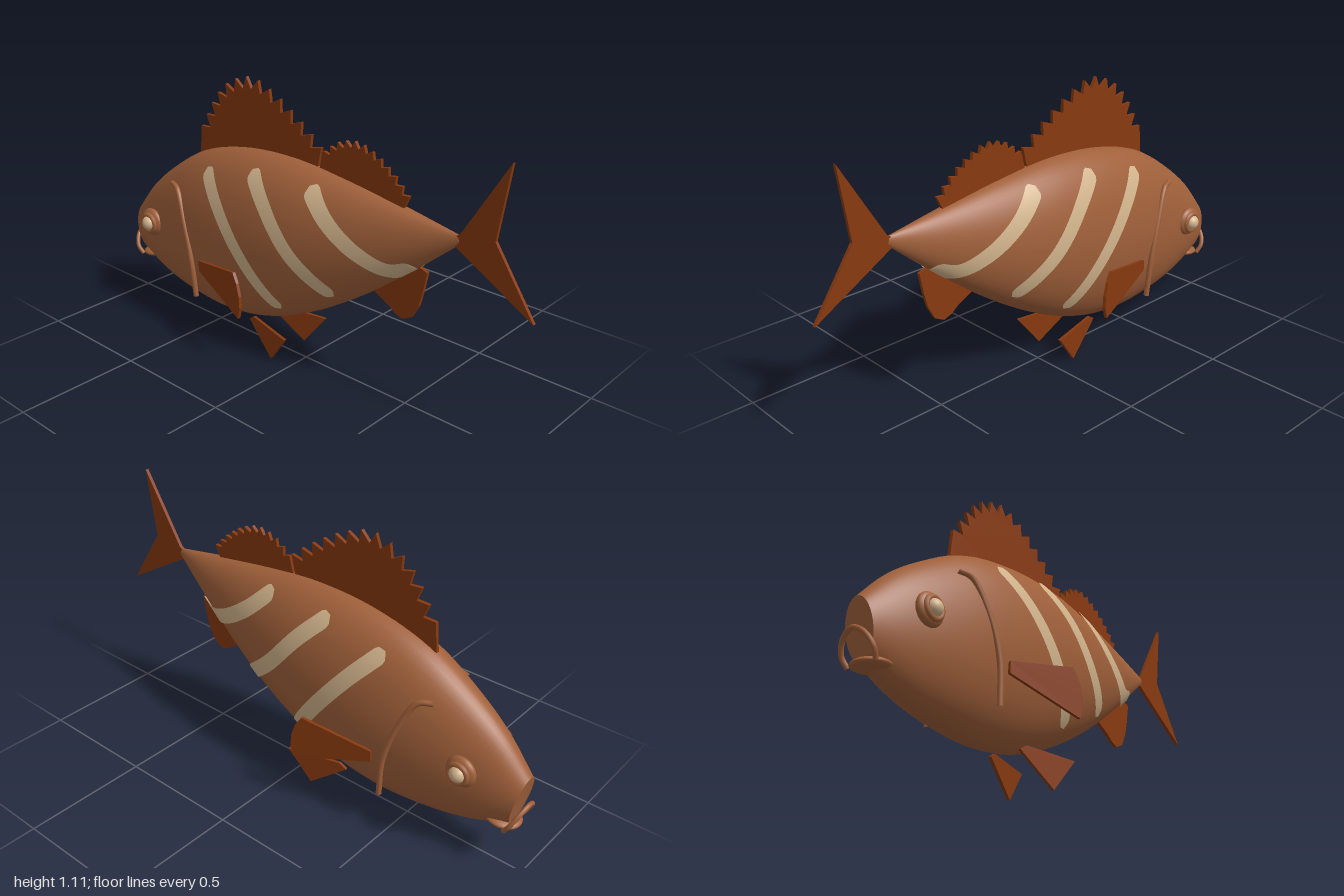
import * as THREE from 'three';

const mat = (name, color, side = THREE.FrontSide) => {
  const m = new THREE.MeshStandardMaterial({ color, side });
  m.name = name;
  return m;
};
const V = (x, y, z = 0) => new THREE.Vector3(x, y, z);
const curve = pts => new THREE.CatmullRomCurve3(pts.map(p => V(...p)));

// Body outline: upper edge, and lower edge with half width as third value
const upper = curve([[-0.985, 0.41], [-0.87, 0.54], [-0.74, 0.645], [-0.55, 0.76], [-0.31, 0.826],
  [-0.05, 0.842], [0.2, 0.818], [0.45, 0.78], [0.69, 0.742]]);
const lower = curve([[-0.94, 0.2, 0.06], [-0.79, 0.14, 0.1], [-0.62, 0.105, 0.135], [-0.4, 0.092, 0.165],
  [-0.18, 0.13, 0.175], [0.06, 0.235, 0.163], [0.29, 0.38, 0.122], [0.5, 0.542, 0.068], [0.7, 0.71, 0.008]]);

function bodyPoint(u, a) {
  const t = upper.getPoint(u), b = lower.getPoint(u), k = (1 + Math.cos(a)) / 2;
  return V(b.x + (t.x - b.x) * k, b.y + (t.y - b.y) * k, b.z * Math.sin(a));
}

// Point on the left flank at a given x and y
function flank(x, y) {
  let lo = 0, hi = 1, t, b, k;
  for (let i = 0; i < 24; i++) {
    const u = (lo + hi) / 2;
    t = upper.getPoint(u);
    b = lower.getPoint(u);
    k = THREE.MathUtils.clamp((y - b.y) / (t.y - b.y), 0.015, 0.985);
    if (b.x + (t.x - b.x) * k < x) lo = u; else hi = u;
  }
  return V(x, b.y + (t.y - b.y) * k, b.z * 2 * Math.sqrt(k * (1 - k)));
}

function meshGeometry(points, index) {
  const g = new THREE.BufferGeometry().setFromPoints(points);
  g.setIndex(index);
  g.computeVertexNormals();
  return g;
}

// Lofted skin with flat, separately shaded end caps
function bodyGeometry(rows = 64, sides = 48) {
  const pts = [], idx = [];
  const ring = u => {
    for (let j = 0; j < sides; j++) pts.push(bodyPoint(u, j / sides * Math.PI * 2));
  };
  for (let i = 0; i <= rows; i++) ring(i / rows);
  for (let i = 0; i < rows; i++) for (let j = 0; j < sides; j++) {
    const a = i * sides + j, b = i * sides + (j + 1) % sides;
    idx.push(a, b, a + sides, b, b + sides, a + sides);
  }
  for (const u of [0, 1]) {
    const s = pts.length;
    ring(u);
    pts.push(upper.getPoint(u).add(lower.getPoint(u)).multiplyScalar(0.5).setZ(0));
    for (let j = 0; j < sides; j++) {
      const a = s + j, b = s + (j + 1) % sides;
      idx.push(s + sides, u ? a : b, u ? b : a);
    }
  }
  return meshGeometry(pts, idx);
}

// Thin round-ended band laid on the flank along a path
function stripeGeometry(path, half = 0.031, n = 48, m = 8) {
  const c = curve(path), len = c.getLength(), pts = [], idx = [], e = 0.004;
  for (let i = 0; i <= n; i++) {
    const u = i / n, p = c.getPointAt(u), d = c.getTangentAt(u);
    const end = Math.min(1, Math.min(u, 1 - u) * len / half);
    const w = half * Math.sqrt(Math.max(0.002, 1 - (1 - end) ** 2));
    for (let j = 0; j <= m; j++) {
      const s = (j / m * 2 - 1) * w, x = p.x - d.y * s, y = p.y + d.x * s;
      const q = flank(x, y);
      const zx = (flank(x + e, q.y).z - flank(x - e, q.y).z) / (2 * e);
      const zy = (flank(x, q.y + e).z - flank(x, q.y - e).z) / (2 * e);
      pts.push(q.add(V(-zx, -zy, 1).normalize().multiplyScalar(0.006)));
      if (i < n && j < m) {
        const a = i * (m + 1) + j, b = a + m + 1;
        idx.push(a, b, a + 1, b, b + 1, a + 1);
      }
    }
  }
  return meshGeometry(pts, idx);
}

// Flat fin of even thickness, centred on its own plane
function finGeometry(points, depth = 0.014) {
  const shape = new THREE.Shape(points.map(p => new THREE.Vector2(p[0], p[1])));
  return new THREE.ExtrudeGeometry(shape, { depth, bevelEnabled: false }).translate(0, 0, -depth / 2);
}

// Saw-toothed edge along a crest curve, closed by base points
function spinyFin(crest, teeth, depth, base) {
  const c = curve(crest), pts = [];
  for (let i = 0; i <= teeth; i++) {
    const p = c.getPointAt(i / teeth);
    pts.push([p.x, p.y]);
    if (i < teeth) {
      const q = c.getPointAt((i + 0.45) / teeth), d = c.getTangentAt((i + 0.45) / teeth);
      pts.push([q.x + d.y * depth, q.y - d.x * depth]);
    }
  }
  return finGeometry([...pts, ...base]);
}

export function createModel() {
  const fish = new THREE.Group();
  fish.name = 'fish';
  const skin = mat('brownSkin', 0xa0603a);
  const finMat = mat('rustFin', 0x87390f);
  const tan = mat('paleTan', 0xd2b48c, THREE.DoubleSide);

  const add = (parent, name, geometry, material) => {
    const m = new THREE.Mesh(geometry, material);
    m.name = name;
    parent.add(m);
    return m;
  };
  const tube = (pts, r) => new THREE.TubeGeometry(curve(pts), 40, r, 10);

  add(fish, 'body', bodyGeometry(), skin);

  // Fins on the centre line
  add(fish, 'frontDorsalFin', spinyFin([[-0.57, 0.86], [-0.49, 0.99], [-0.42, 1.06], [-0.29, 1.11], [-0.18, 1.08],
    [-0.07, 1.02], [0.025, 0.955], [0.08, 0.91]], 13, 0.045, [[0.055, 0.8], [-0.3, 0.78], [-0.585, 0.7]]), finMat);
  add(fish, 'rearDorsalFin', spinyFin([[0.09, 0.9], [0.16, 0.95], [0.25, 0.97], [0.33, 0.945], [0.41, 0.895],
    [0.485, 0.825]], 11, 0.026, [[0.45, 0.75], [0.25, 0.77], [0.065, 0.8]]), finMat);
  add(fish, 'tailFin', finGeometry([[0.66, 0.72], [0.7, 0.75], [0.875, 1.04], [0.835, 0.76], [1, 0.515], [0.68, 0.7]]), finMat);
  add(fish, 'analFin', finGeometry([[0.32, 0.43], [0.41, 0.385], [0.44, 0.362], [0.475, 0.35], [0.515, 0.37],
    [0.545, 0.425], [0.56, 0.485], [0.575, 0.565], [0.5, 0.59]]), finMat);

  // Mouth
  add(fish, 'upperLip', tube([[-0.94, 0.195, -0.06], [-0.962, 0.23, -0.068], [-0.983, 0.275, -0.045], [-0.992, 0.298, 0],
    [-0.983, 0.275, 0.045], [-0.962, 0.23, 0.068], [-0.94, 0.195, 0.06]], 0.009), skin);
  const lip = add(fish, 'lowerLip', new THREE.SphereGeometry(1, 24, 16), skin);
  lip.scale.set(0.07, 0.02, 0.066);
  lip.position.set(-0.902, 0.205, 0);
  lip.rotation.z = 0.12;

  // Parts repeated on both sides
  for (const side of [1, -1]) {
    const half = new THREE.Group();
    half.name = side > 0 ? 'frontFlank' : 'backFlank';
    half.scale.z = side;
    fish.add(half);

    [[[-0.435, 0.735], [-0.32, 0.61], [-0.17, 0.425], [-0.04, 0.25]],
      [[-0.185, 0.785], [-0.08, 0.68], [0.06, 0.52], [0.215, 0.385]],
      [[0.095, 0.785], [0.21, 0.68], [0.34, 0.595], [0.45, 0.555], [0.54, 0.58]]]
      .forEach(p => add(half, 'stripe', stripeGeometry(p), tan));

    add(half, 'gillCover', tube([[-0.65, 0.62, 0.11], [-0.6, 0.61, 0.128], [-0.54, 0.5, 0.153],
      [-0.49, 0.34, 0.166], [-0.475, 0.175, 0.16]], 0.011), skin);

    const eye = new THREE.Group();
    eye.name = 'eye';
    eye.position.set(-0.785, 0.41, 0.12);
    half.add(eye);
    add(eye, 'eyeSocket', new THREE.SphereGeometry(0.06, 28, 18), skin).scale.z = 0.45;
    add(eye, 'eyeRim', new THREE.TorusGeometry(0.036, 0.011, 10, 32), skin).position.z = 0.018;
    add(eye, 'eyeball', new THREE.SphereGeometry(0.032, 24, 16), tan).position.z = 0.016;

    const pectoral = add(half, 'pectoralFin', finGeometry([[0, 0.35], [0, 0.305], [0.31, 0.222], [0.325, 0.27],
      [0.322, 0.32], [0.305, 0.37], [0.28, 0.408]], 0.012), finMat);
    pectoral.position.set(-0.437, 0, 0.165);
    pectoral.rotation.y = -0.24;

    const pelvic = add(half, 'pelvicFin', finGeometry([[0, 0.115], [0.155, 0], [0.255, 0.128], [0.03, 0.135]], 0.012), finMat);
    pelvic.position.set(-0.25, 0, 0.065);
    pelvic.rotation.y = -0.22;
  }
  return fish;
}
